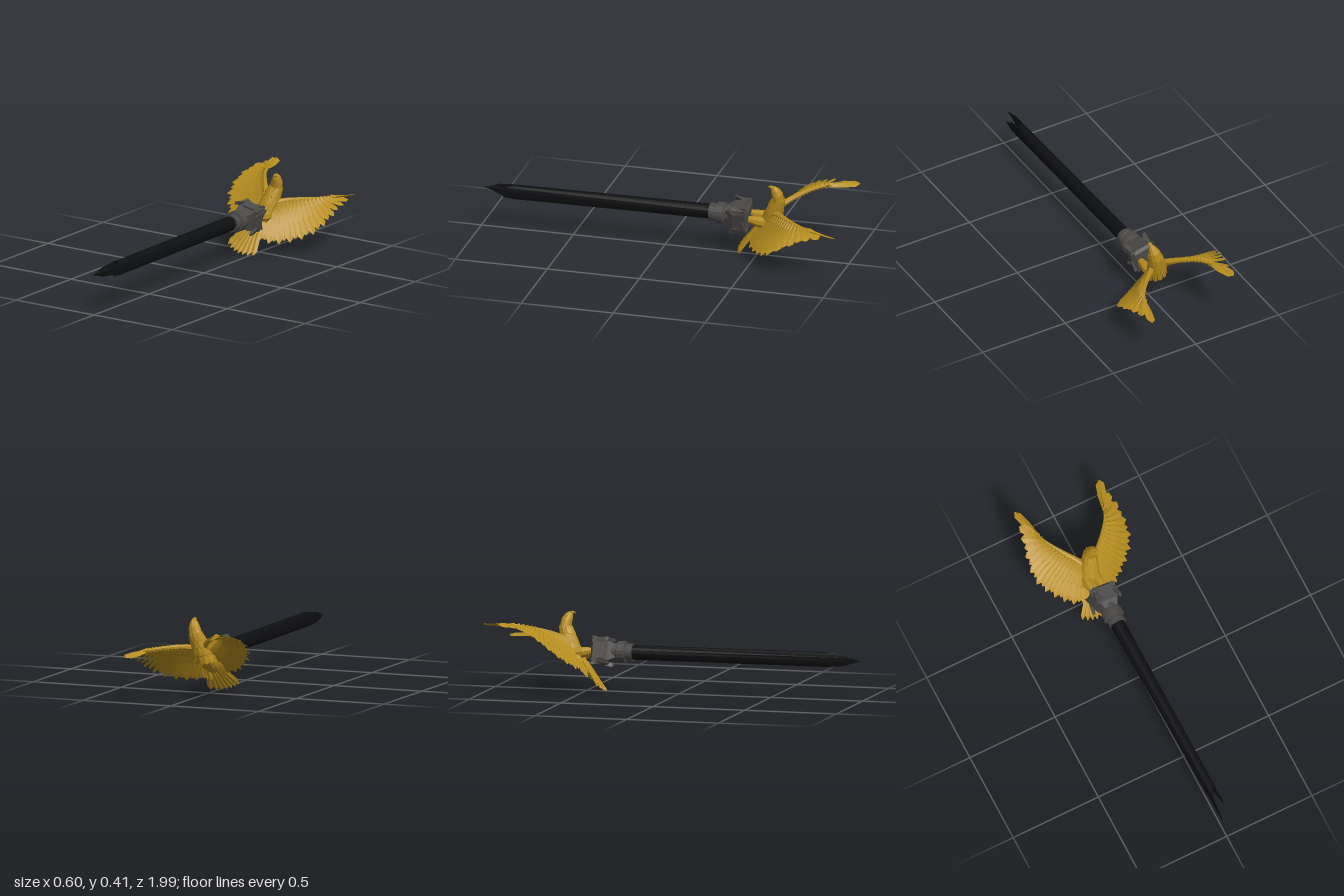
import * as THREE from 'three';
import { mergeGeometries } from 'three/addons/utils/BufferGeometryUtils.js';

const V = (x, y, z) => new THREE.Vector3(x, y, z);

function material(name, color, flat = true) {
  const m = new THREE.MeshStandardMaterial({ color });
  m.name = name;
  m.flatShading = flat;
  return m;
}

// Closed skin through a list of equally sized rings of points.
function loft(rings) {
  const p = [];
  const tri = (...pts) => pts.forEach((q) => p.push(q.x, q.y, q.z));
  const n = rings[0].length;
  for (let k = 0; k < rings.length - 1; k++) {
    const a = rings[k], b = rings[k + 1];
    for (let i = 0; i < n; i++) {
      const j = (i + 1) % n;
      tri(a[i], a[j], b[j]);
      tri(a[i], b[j], b[i]);
    }
  }
  const s = rings[0], e = rings[rings.length - 1];
  for (let i = 1; i < n - 1; i++) {
    tri(s[0], s[i + 1], s[i]);
    tri(e[0], e[i], e[i + 1]);
  }
  const g = new THREE.BufferGeometry();
  g.setAttribute('position', new THREE.Float32BufferAttribute(p, 3));
  g.computeVertexNormals();
  return g;
}

// Pointed blade with a raised quill on both faces.
function feather(root, tip, normal, width, thick) {
  const d = tip.clone().sub(root).normalize();
  const v = normal.clone().addScaledVector(d, -normal.dot(d)).normalize();
  const u = v.clone().cross(d);
  const rings = [[0, 0.6], [0.45, 0.95], [0.86, 0.9], [1, 0.12]].map(([s, w]) => {
    const c = root.clone().lerp(tip, s);
    const t = thick * (1 - 0.6 * s);
    return [[w * width, 0], [0, t], [-w * width, 0], [0, -t]].map(([a, b]) =>
      c.clone().addScaledVector(u, a).addScaledVector(v, b));
  });
  return loft(rings);
}

// Round limb through points given as [x, y, z, radius across, radius deep].
function limb(points, sides = 12) {
  return loft(points.map(([x, y, z, rx, rz = rx], k) => {
    const a = points[Math.max(0, k - 1)], b = points[Math.min(points.length - 1, k + 1)];
    const d = V(b[0] - a[0], b[1] - a[1], b[2] - a[2]).normalize();
    const v = d.clone().cross(V(1, 0, 0)).normalize();
    const u = v.clone().cross(d);
    return Array.from({ length: sides }, (_, i) => {
      const t = (i / sides) * Math.PI * 2;
      return V(x, y, z).addScaledVector(u, rx * Math.cos(t)).addScaledVector(v, rz * Math.sin(t));
    });
  }));
}

function wingGeometry(s) {
  const curve = (pts) => new THREE.CatmullRomCurve3(pts.map(([x, y, z]) => V(x * s, y, z)));
  const lead = curve([[0.03, 0.045, -0.6], [0.06, 0.062, -0.635], [0.12, 0.08, -0.7],
    [0.18, 0.092, -0.78], [0.225, 0.096, -0.88], [0.255, 0.095, -0.99]]);
  const tips = curve([[0.06, -0.125, -0.46], [0.11, -0.125, -0.475], [0.15, -0.118, -0.5],
    [0.19, -0.103, -0.53], [0.23, -0.082, -0.565], [0.265, -0.055, -0.6], [0.295, -0.02, -0.645],
    [0.304, 0.02, -0.7], [0.302, 0.055, -0.77], [0.287, 0.085, -0.86], [0.255, 0.093, -0.995]]);
  const parts = [];
  const count = 19;
  for (let i = 0; i < count; i++) {
    const u = i / (count - 1);
    const root = lead.getPoint(u * 0.72);
    const tip = tips.getPoint(u);
    const dir = tip.clone().sub(root);
    const n = dir.clone().cross(lead.getTangent(u * 0.72)).normalize();
    const side = n.clone().cross(dir).normalize();
    const tilted = n.clone().addScaledVector(side, 0.22);
    if (i % 2) tip.lerp(root, 0.06);
    parts.push(feather(root, tip, tilted, 0.026, 0.006));
    // Covert layers over the quills
    parts.push(feather(root, root.clone().lerp(tip, 0.62), tilted, 0.022, 0.011));
    parts.push(feather(root, root.clone().lerp(tip, 0.34), tilted, 0.02, 0.016));
  }
  // Leading edge of the wing
  const edge = [];
  for (let i = 0; i <= 10; i++) {
    const q = lead.getPoint(i / 10);
    edge.push([q.x, q.y, q.z, 0.02 - 0.0018 * i]);
  }
  parts.push(limb(edge, 8));
  return mergeGeometries(parts);
}

export function createModel() {
  const model = new THREE.Group();
  const gold = material('gold', 0xb58c1e);
  const iron = material('dark iron', 0x4b4947);
  const black = material('black wood', 0x0d0e10);
  const add = (parent, name, geometry, mat) => {
    const mesh = new THREE.Mesh(geometry, mat);
    mesh.name = name;
    parent.add(mesh);
    return mesh;
  };

  // Shaft, snapped into two splinters at the front end
  const shaftGeo = new THREE.CylinderGeometry(0.039, 0.039, 1.1, 16, 1);
  shaftGeo.rotateX(Math.PI / 2);
  const pos = shaftGeo.attributes.position;
  for (let i = 0; i < pos.count; i++) {
    if (pos.getZ(i) < 0) continue;
    const x = pos.getX(i), y = pos.getY(i);
    if (Math.hypot(x, y) < 0.01) { pos.setZ(i, 0.5); continue; }
    const c = x / 0.039;
    const jag = Math.round(Math.atan2(y, x) / (Math.PI / 8)) % 2 ? -0.025 : 0;
    const reach = c * c * (c < 0 ? 0.175 : 0.105);
    pos.setZ(i, 0.535 + reach + jag);
    pos.setX(i, x * (1 - 0.35 * c * c));
  }
  shaftGeo.computeVertexNormals();
  const shaft = add(model, 'shaft', shaftGeo, black);
  shaft.position.set(0, 0.212, 0.28);
  shaft.rotation.y = 0.016;

  // Head of the staff, rolled to one side
  const top = new THREE.Group();
  top.name = 'staffHead';
  top.position.set(-0.007, 0.212, 0);
  top.rotation.z = -0.24;
  model.add(top);

  // Stepped collar: [z, radius]
  const profile = [[-0.245, 0.036], [-0.245, 0.047], [-0.272, 0.047], [-0.275, 0.043], [-0.282, 0.043],
    [-0.286, 0.057], [-0.325, 0.057], [-0.33, 0.046], [-0.38, 0.046]].map(([z, r]) => new THREE.Vector2(r, z));
  const collar = new THREE.LatheGeometry(profile.reverse(), 20);
  collar.rotateX(Math.PI / 2);
  iron.side = THREE.DoubleSide;
  add(top, 'collar', collar, iron);

  // Flared square socket
  const square = (h, z) => [[1, 1], [1, -1], [-1, -1], [-1, 1]].map(([x, y]) => V(x * h, y * h, z));
  add(top, 'socket', loft([square(0.036, -0.335), square(0.052, -0.372), square(0.056, -0.4),
    square(0.066, -0.45), square(0.05, -0.462)]), iron);

  // Raised panels and barbs on the four sides of the socket
  for (let k = 0; k < 4; k++) {
    const side = new THREE.Group();
    side.name = 'socketSide';
    side.rotation.z = (k * Math.PI) / 2;
    top.add(side);
    const panel = new THREE.Shape([[-0.03, 0], [0.03, 0], [0.058, 0.075], [0, 0.05], [-0.058, 0.075]]
      .map(([x, y]) => new THREE.Vector2(x, y)));
    const plate = add(side, 'socketPanel',
      new THREE.ExtrudeGeometry(panel, { depth: 0.012, bevelEnabled: false }), iron);
    plate.rotation.x = -Math.PI / 2 + 0.16;
    plate.position.set(0, 0.052, -0.385);
    add(side, 'socketBarb',
      feather(V(0.045, 0.045, -0.455), V(0.066, 0.066, -0.362), V(1, 1, 0), 0.022, 0.02), iron);
  }

  // Bird
  const bird = new THREE.Group();
  bird.name = 'bird';
  top.add(bird);
  add(bird, 'body', limb([[0, -0.095, -0.49, 0.026, 0.015], [0, -0.06, -0.525, 0.04, 0.032],
    [0, -0.015, -0.565, 0.05, 0.045], [0, 0.04, -0.595, 0.051, 0.047], [0, 0.085, -0.612, 0.043, 0.038],
    [0, 0.125, -0.622, 0.036, 0.031], [0, 0.155, -0.618, 0.031, 0.03], [0, 0.18, -0.607, 0.021, 0.024],
    [0, 0.195, -0.598, 0.011, 0.014], [0, 0.2, -0.594, 0.003]]), gold);
  add(bird, 'beak', limb([[0, 0.184, -0.604, 0.013], [0, 0.199, -0.589, 0.009],
    [0, 0.198, -0.577, 0.005], [0, 0.189, -0.573, 0.001]], 6), gold);

  // Pointed ruff feathers in rows around neck and breast: [y, z, radius, length]
  const ruff = [];
  [[0.125, -0.622, 0.032, 0.045], [0.092, -0.612, 0.037, 0.05], [0.055, -0.6, 0.042, 0.055],
    [0.01, -0.58, 0.043, 0.06]].forEach(([y, z, r, len], row) => {
    for (let i = 0; i < 11; i++) {
      const a = ((i + row / 2) / 11) * Math.PI * 2;
      const out = V(Math.cos(a), 0, Math.sin(a));
      const root = V(0, y, z).addScaledVector(out, r);
      const tip = V(0, y - len, z + len * 0.35).addScaledVector(out, r + 0.012);
      ruff.push(feather(root, tip, out, 0.014, 0.005));
    }
  });
  add(bird, 'ruffFeathers', mergeGeometries(ruff), gold);

  for (const s of [1, -1]) {
    add(bird, s > 0 ? 'leftWing' : 'rightWing', wingGeometry(s), gold);
    // Thigh, foot gripping the socket, and a tuft behind it
    add(bird, 'leg', limb([[s * 0.026, -0.02, -0.57, 0.034], [s * 0.03, -0.012, -0.51, 0.028],
      [s * 0.03, -0.002, -0.45, 0.016]], 8), gold);
    for (let k = 0; k < 3; k++) {
      add(bird, 'thighFeather', feather(V(s * (0.02 + 0.012 * k), -0.03, -0.53),
        V(s * (0.04 + 0.012 * k), -0.145 + 0.012 * k, -0.475 - 0.012 * k), V(s * 0.4, 0.3, 1), 0.016, 0.01), gold);
    }
  }

  // Fanned tail
  const tail = [];
  for (let i = 0; i < 7; i++) {
    const f = (i - 3) / 3;
    tail.push(feather(V(f * 0.026, -0.06, -0.505), V(f * 0.082, -0.207 + 0.014 * f * f, -0.385 - 0.02 * f * f),
      V(0.12, 0.65, 0.75), 0.018, 0.012));
  }
  add(bird, 'tail', mergeGeometries(tail), gold);
  return model;
}
